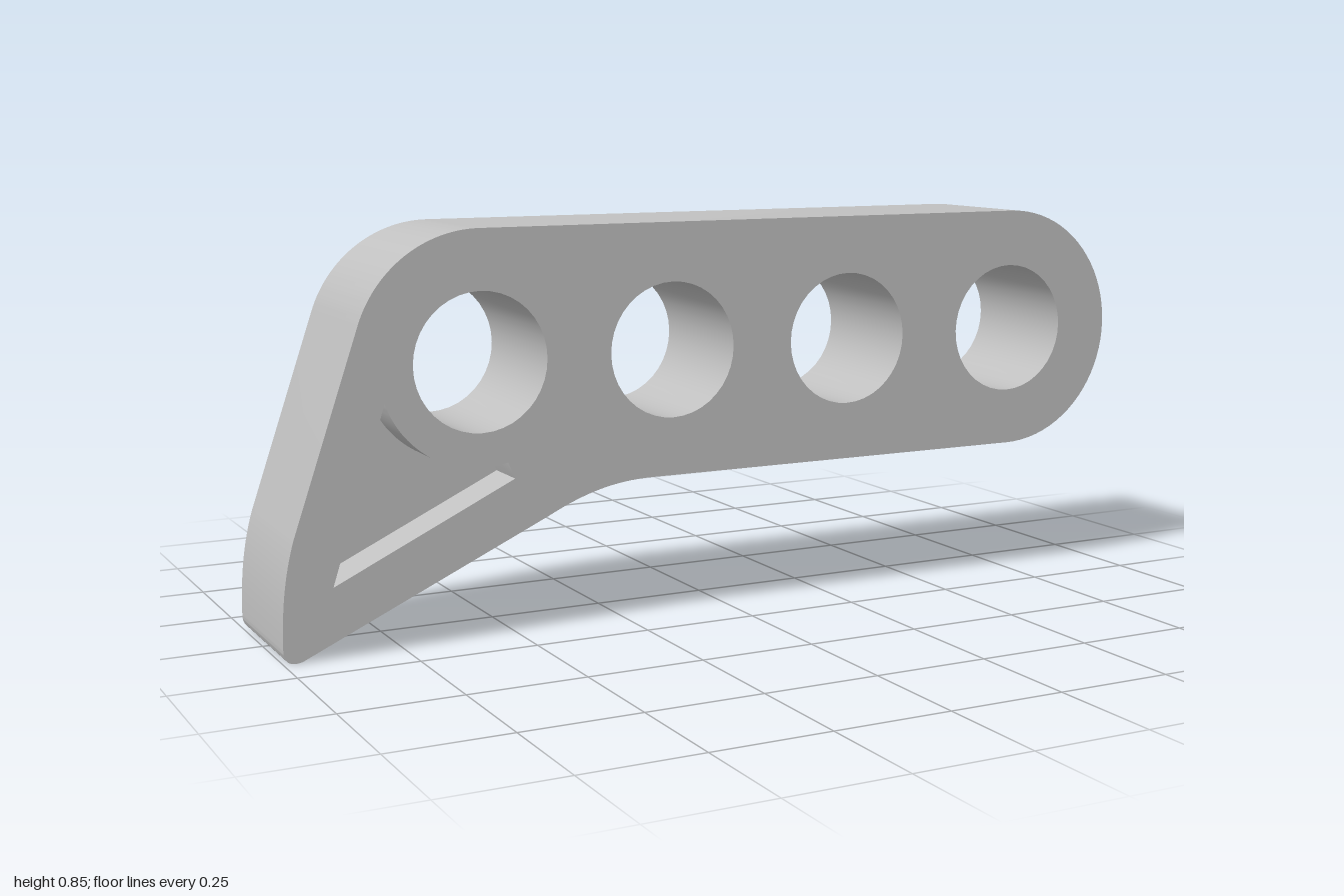
import * as THREE from 'three';
import { mergeGeometries, toCreasedNormals } from 'three/addons/utils/BufferGeometryUtils.js';

const HALF = 0.155;            // half thickness of the arm
const WEB = 0.052;             // half thickness of the web between pockets
const CY = 0.575;              // height of the bore centres
const BORES = [-0.575, -0.141, 0.291, 0.725];
const RING = 0.208;            // outer radius of the ring round each bore

// Points of a path, ordered counter-clockwise (or clockwise for openings)
function loop(path, clockwise = false) {
  let pts = path.getPoints(20);
  pts = pts.filter((p, i) => p.distanceTo(pts[(i + 1) % pts.length]) > 1e-5);
  if (THREE.ShapeUtils.isClockWise(pts) !== clockwise) pts.reverse();
  return pts;
}

// Side wall that follows a loop from z0 to z1
function wall(pts, z0, z1) {
  const pos = [];
  pts.forEach((a, i) => {
    const b = pts[(i + 1) % pts.length];
    pos.push(a.x, a.y, z0, b.x, b.y, z0, b.x, b.y, z1);
    pos.push(a.x, a.y, z0, b.x, b.y, z1, a.x, a.y, z1);
  });
  const g = new THREE.BufferGeometry();
  g.setAttribute('position', new THREE.Float32BufferAttribute(pos, 3));
  return toCreasedNormals(g, 0.5);
}

// Flat face at height z, facing +z when z is positive and -z otherwise
function face(pts, holes, z) {
  const shape = new THREE.Shape(pts);
  shape.holes = holes.map((h) => new THREE.Path(h));
  let g = new THREE.ShapeGeometry(shape);
  if (z < 0) g.index.array.reverse();
  g.translate(0, 0, z);
  g = g.toNonIndexed();
  g.deleteAttribute('uv');
  g.computeVertexNormals();
  return g;
}

// Outline of the bent arm
function armOutline() {
  const p = new THREE.Path();
  p.moveTo(-0.955, 0.005);
  p.lineTo(-0.43, 0.245);
  p.bezierCurveTo(-0.35, 0.285, -0.28, 0.305, -0.19, 0.305);
  p.absarc(0.73, CY, 0.27, -Math.PI / 2, Math.PI / 2, false);
  p.absarc(-0.575, CY, 0.271, Math.PI / 2, Math.PI * 0.895, false);
  p.lineTo(-0.972, 0.25);
  p.bezierCurveTo(-0.993, 0.18, -1, 0.11, -1, 0.03);
  p.quadraticCurveTo(-1, 0.0, -0.975, 0);
  p.quadraticCurveTo(-0.965, 0, -0.955, 0.005);
  return p;
}

// Three-sided pocket in the foot, hollowed by the first ring
function footPocket() {
  const p = new THREE.Path();
  p.moveTo(-0.895, 0.145);
  p.lineTo(-0.505, 0.33);
  p.lineTo(-0.52, 0.365);
  p.absarc(BORES[0], CY, 0.217, Math.atan2(-0.21, 0.055), Math.atan2(-0.07, -0.205), true);
  p.closePath();
  return p;
}

// Pocket between two rings, above (side 1) or below (side -1) the bore line
function ringPocket(i, side) {
  const bend = i === 0 && side < 0;
  const tip = Math.asin(0.035 / RING);
  const leftEnd = Math.asin((bend ? 0.168 : 0.153) / RING);
  const rightEnd = Math.asin((bend ? 0.182 : 0.153) / RING);
  const p = new THREE.Path();
  p.absarc(BORES[i], CY, RING, side * tip, side * leftEnd, side < 0);
  if (bend) p.lineTo(-0.437, 0.375);
  p.absarc(BORES[i + 1], CY, RING, Math.PI - side * rightEnd, Math.PI - side * tip, side < 0);
  p.closePath();
  return p;
}

export function createModel() {
  const group = new THREE.Group();
  const grey = new THREE.MeshStandardMaterial({ color: 0xc0c0c0 });
  grey.name = 'light grey';
  const add = (name, ...parts) => {
    const mesh = new THREE.Mesh(mergeGeometries(parts), grey);
    mesh.name = name;
    group.add(mesh);
  };

  const outline = loop(armOutline());
  const bores = BORES.map((x) => loop(new THREE.Path().absarc(x, CY, 0.145, 0, Math.PI * 2), true));
  const foot = loop(footPocket(), true);
  const gaps = [0, 1, 2].flatMap((i) => [1, -1].map((s) => loop(ringPocket(i, s), true)));

  // Outer skin
  add('armRim', wall(outline, -HALF, HALF));
  add('frontFace', face(outline, [...bores, foot], HALF));
  add('backFace', face(outline, [...bores, foot, ...gaps], -HALF));

  // Through bores
  bores.forEach((b, i) => add('bore' + (i + 1), wall(b, -HALF, HALF)));

  // Blind pockets: walls and floor
  add('frontFootPocket', wall(foot, WEB, HALF), face(foot, [], WEB));
  [foot, ...gaps].forEach((p, i) => {
    add(i ? 'backRingPocket' + i : 'backFootPocket', wall(p, -HALF, -WEB), face(p, [], -WEB));
  });
  return group;
}
